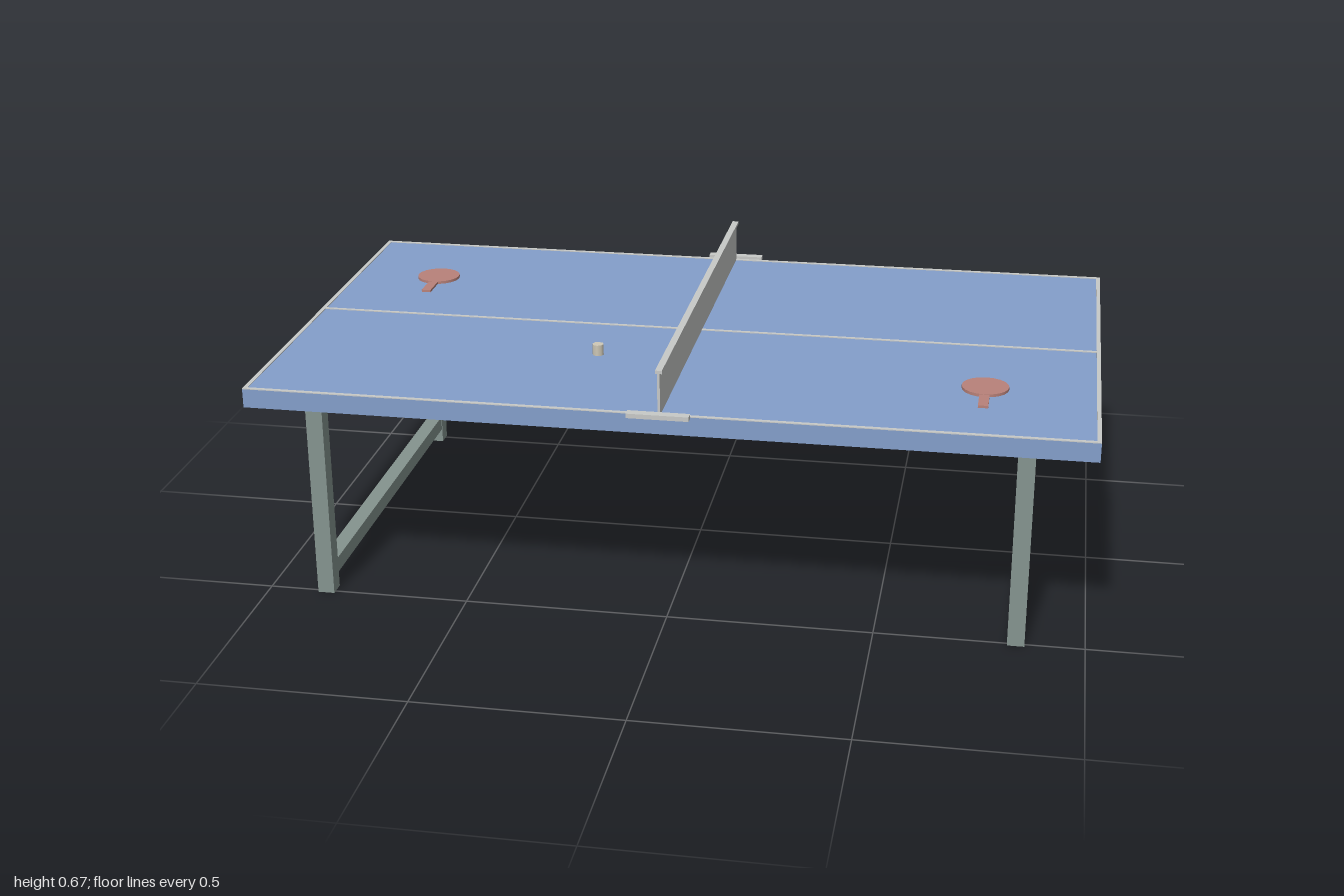
import * as THREE from 'three';

const mat = (name, color) => {
  const m = new THREE.MeshStandardMaterial({ color });
  m.name = name;
  return m;
};

export function createModel() {
  const blue = mat('table blue', 0x849fcb);
  const steel = mat('frame grey green', 0x85948f);
  const white = mat('line and net white', 0xc8cac8);
  const red = mat('paddle red', 0xb9827a);
  const cream = mat('ball cream', 0xcfc9b8);

  const model = new THREE.Group();
  model.name = 'tableTennisTable';

  const add = (name, geometry, material, x, y, z, parent = model) => {
    const mesh = new THREE.Mesh(geometry, material);
    mesh.name = name;
    mesh.position.set(x, y, z);
    parent.add(mesh);
    return mesh;
  };
  const box = (name, material, w, h, d, x, y, z, parent) =>
    add(name, new THREE.BoxGeometry(w, h, d), material, x, y, z, parent);

  // Table top
  const TOP = 0.56, HALF = 0.584;
  box('tableTop', blue, 2, 0.046, HALF * 2, 0, TOP - 0.023, 0);

  // Painted lines: two sides, two ends and the centre
  for (const s of [-1, 1]) {
    box('sideLine', white, 2, 0.002, 0.01, 0, TOP + 0.001, s * (HALF - 0.005));
    box('endLine', white, 0.01, 0.002, HALF * 2 - 0.02, s * 0.995, TOP + 0.001, 0);
  }
  box('centreLine', white, 1.98, 0.002, 0.009, 0, TOP + 0.001, 0);

  // Net with its top tape, and a clamp at each end
  box('net', white, 0.006, 0.104, HALF * 2, 0, TOP + 0.052, 0);
  box('netTape', white, 0.016, 0.008, HALF * 2, 0, 0.666, 0);
  for (const s of [-1, 1]) {
    box('netClamp', white, 0.146, 0.011, 0.022, 0, 0.5635, s * 0.595);
  }

  // Leg frames: two posts joined by a low crossbar
  for (const x of [-0.855, 0.838]) {
    const frame = new THREE.Group();
    frame.name = 'legFrame';
    for (const s of [-1, 1]) {
      box('leg', steel, 0.041, 0.514, 0.042, x, 0.257, s * 0.49, frame);
    }
    box('crossbar', steel, 0.038, 0.038, 0.94, x, 0.056, 0, frame);
    model.add(frame);
  }
  box('longBeam', steel, 1.75, 0.036, 0.043, 0, 0.386, 0.001);

  // Paddles lying flat, handles towards the front
  for (const [x, z] of [[-0.77, -0.295], [0.73, 0.29]]) {
    const paddle = new THREE.Group();
    paddle.name = 'paddle';
    paddle.position.set(x, TOP, z);
    add('blade', new THREE.CylinderGeometry(0.056, 0.056, 0.007, 20), red, 0, 0.0035, 0, paddle);
    box('handle', red, 0.024, 0.006, 0.077, 0, 0.003, 0.0865, paddle);
    model.add(paddle);
  }

  // Small ball, faceted
  add('ball', new THREE.CylinderGeometry(0.014, 0.014, 0.027, 8), cream, -0.22, TOP + 0.0135, 0.215);

  return model;
}
